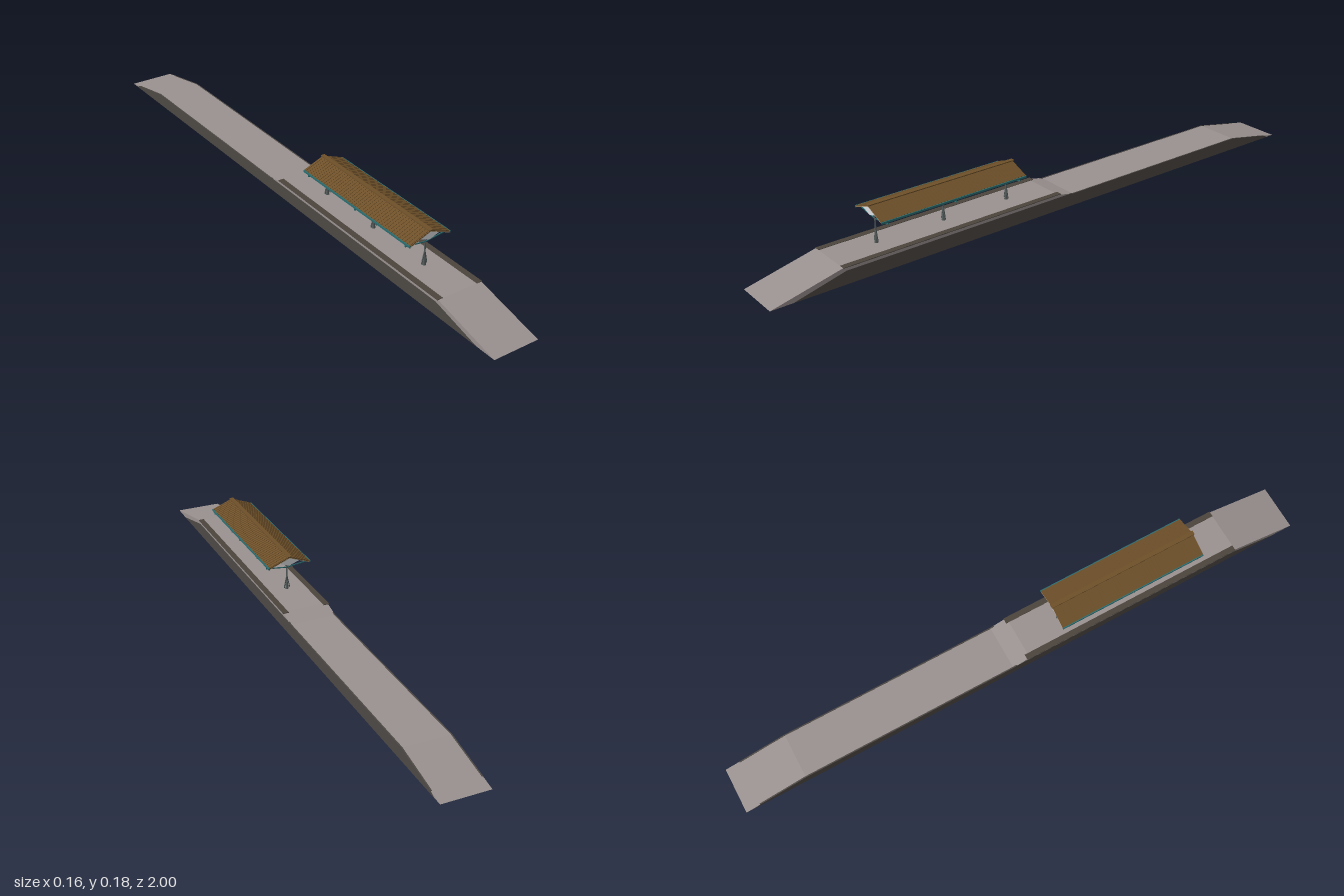
import * as THREE from 'three';

const mat = (name, color, side = THREE.FrontSide) => {
  const m = new THREE.MeshStandardMaterial({ color, side });
  m.name = name;
  return m;
};

export function createModel() {
  const paving = mat('grey paving', 0x9a9290);
  const wall = mat('dark wall', 0x4d4844);
  const edging = mat('dark edging', 0x4c453d);
  const tile = mat('brown tile', 0x6e5029);
  const teal = mat('teal paint', 0x2a6e72);
  const iron = mat('grey iron', 0x586060);
  const white = mat('pale boarding', 0xdde1e5, THREE.DoubleSide);
  const cream = mat('cream trim', 0xb09a7c);

  const root = new THREE.Group();
  root.name = 'stationPlatform';

  const add = (parent, name, geo, material, x = 0, y = 0, z = 0) => {
    const m = new THREE.Mesh(geo, material);
    m.name = name;
    m.position.set(x, y, z);
    parent.add(m);
    return m;
  };
  const box = (parent, name, m, w, h, d, x, y, z) =>
    add(parent, name, new THREE.BoxGeometry(w, h, d), m, x, y, z);

  // Extrudes a (z, y) side profile across x, from x0 to x1
  const sideProfile = (pts, x0, x1) => {
    const shape = new THREE.Shape(pts.map(p => new THREE.Vector2(...p)));
    const g = new THREE.ExtrudeGeometry(shape, { depth: x1 - x0, bevelEnabled: false });
    return g.rotateY(-Math.PI / 2).translate(x1, 0, 0);
  };
  // Bar between two points in the x-y plane
  const bar = (parent, name, m, a, b, thick, depth, z) => {
    const dx = b[0] - a[0], dy = b[1] - a[1];
    const o = box(parent, name, m, Math.hypot(dx, dy), thick, depth,
      (a[0] + b[0]) / 2, (a[1] + b[1]) / 2, z);
    o.rotation.z = Math.atan2(dy, dx);
    return o;
  };

  // Platform: high part in front, low part behind, a ramp at each end
  add(root, 'platformBody', sideProfile([
    [-1, 0], [1, 0], [0.77, 0.054], [0, 0.054], [-0.06, 0.04], [-0.79, 0.04],
  ], -0.0772, 0.0772), paving);

  // Side walls, just proud of the body, and edging strips
  for (const s of [-1, 1]) {
    const side = s < 0 ? 'right' : 'left';
    const x0 = s < 0 ? -0.0778 : 0.0738;
    add(root, side + 'Wall', sideProfile([
      [-0.97, 0], [0.93, 0], [0.76, 0.043], [-0.05, 0.043], [-0.06, 0.0405],
      [-0.79, 0.0405], [-0.95, 0.0102],
    ], x0, x0 + 0.004), wall);
    box(root, side + 'Edging', edging, 0.019, 0.0018, 0.78, s * 0.0702, 0.0543, 0.38);
  }

  // Canopy posts with small flared feet and a pair of arms
  const zMid = 0.378, roofLen = 0.515;
  for (const z of [0.145, 0.38, 0.615]) {
    const post = new THREE.Group();
    post.name = 'post';
    root.add(post);
    add(post, 'foot', new THREE.CylinderGeometry(0.0025, 0.006, 0.03, 8), iron, 0, 0.069, z);
    add(post, 'shaft', new THREE.CylinderGeometry(0.0022, 0.0026, 0.094, 8), iron, 0, 0.125, z);
    for (const s of [-1, 1]) {
      bar(post, 'footStrut', iron, [s * 0.001, 0.098], [s * 0.0095, 0.058], 0.0025, 0.003, z);
      bar(post, 'arm', teal, [0, 0.131], [s * 0.071, 0.14], 0.003, 0.003, z);
      box(post, 'armBracket', teal, 0.0025, 0.008, 0.003, s * 0.0715, 0.143, z);
    }
  }

  // Pitched roof with ribs running down both slopes
  const roof = new THREE.Group();
  roof.name = 'roof';
  root.add(roof);
  const ribs = 44, pitch = roofLen / ribs;
  for (const s of [-1, 1]) {
    bar(roof, 'roofSlope', tile, [0, 0.1775], [s * 0.07, 0.15], 0.003, roofLen, zMid);
    for (let i = 0; i < ribs; i++) {
      bar(roof, 'tileRib', tile, [0, 0.179], [s * 0.07, 0.1515], 0.0022, pitch * 0.5,
        zMid - roofLen / 2 + (i + 0.5) * pitch);
    }
    // Trim under the gable ends, gutters and purlins
    for (const e of [-1, 1]) {
      bar(roof, 'gableTrim', cream, [0, 0.175], [s * 0.069, 0.148], 0.002, 0.003,
        zMid + e * (roofLen / 2 - 0.0012));
    }
    box(roof, 'gutter', teal, 0.004, 0.006, roofLen, s * 0.0717, 0.1485, zMid);
    for (const [x, y] of [[0.022, 0.166], [0.046, 0.1565]]) {
      box(roof, 'purlin', cream, 0.003, 0.003, roofLen - 0.012, s * x, y, zMid);
    }
  }
  box(roof, 'ridgeCap', tile, 0.014, 0.003, roofLen + 0.006, 0, 0.1795, zMid);
  box(roof, 'ridgeBeam', iron, 0.003, 0.003, roofLen - 0.012, 0, 0.1475, zMid);

  // Pale gable boards at both ends
  const board = new THREE.Shape([[0, 0.175], [-0.038, 0.16], [0, 0.146], [0.038, 0.16]]
    .map(p => new THREE.Vector2(...p)));
  for (const e of [-1, 1]) {
    add(roof, 'gableBoard', new THREE.ShapeGeometry(board), white, 0, 0,
      zMid + e * (roofLen / 2 - 0.004));
  }

  return root;
}
